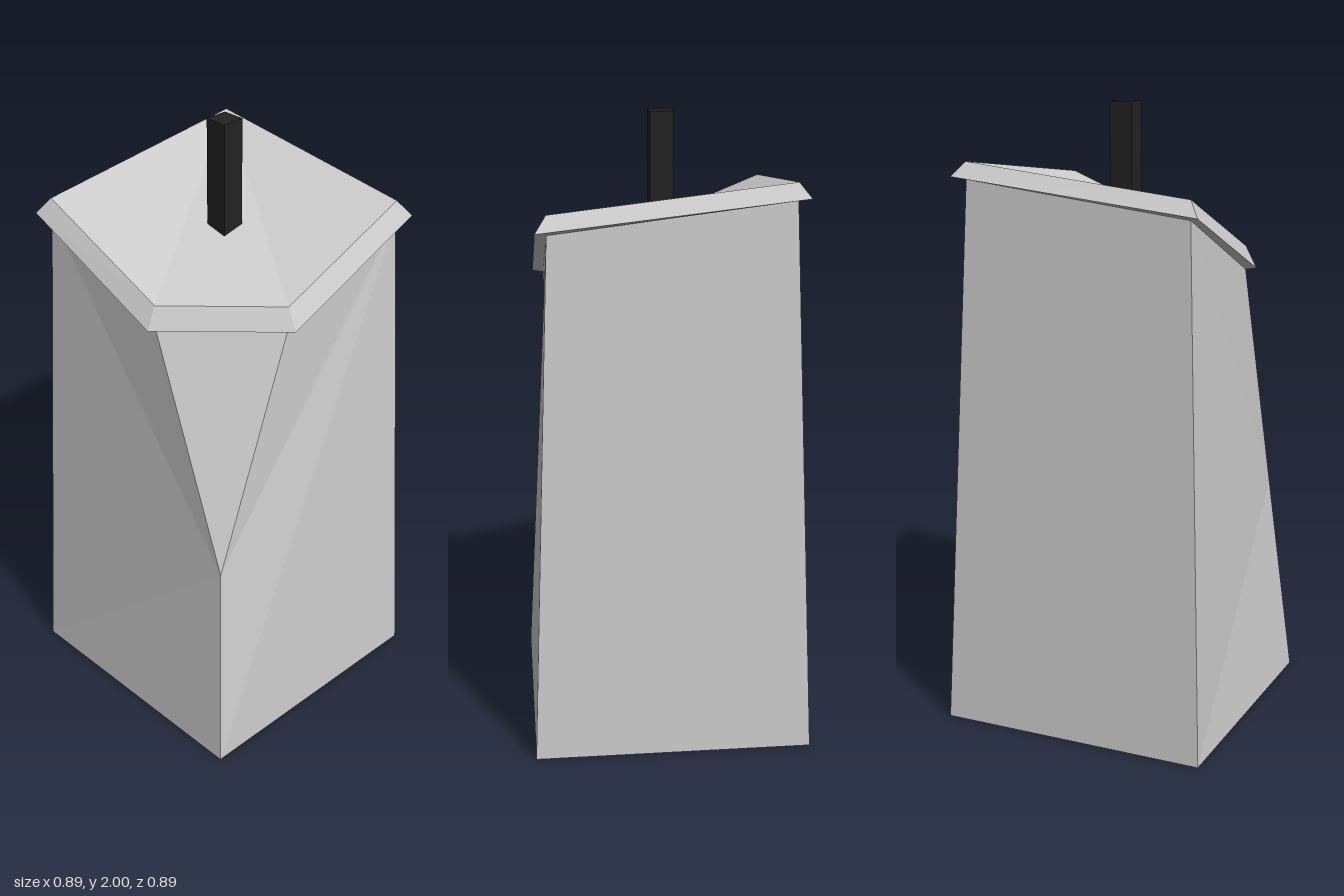
import * as THREE from 'three';

// Triangle soup from corner points, flat shaded
function facets(name, triangles) {
  const geometry = new THREE.BufferGeometry().setFromPoints(
    triangles.flat().map(p => new THREE.Vector3(...p)));
  geometry.computeVertexNormals();
  const material = new THREE.MeshStandardMaterial({
    color: 0xcccccc, flatShading: true, side: THREE.DoubleSide });
  const mesh = new THREE.Mesh(geometry, material);
  mesh.name = name;
  return mesh;
}

// Five-cornered ring with one corner cut off:
// back left, front left, two cut corners, back right
function ring(r, cut, high, mid, low) {
  return [[-r, high, -r], [-r, mid, r], [cut, low, r], [r, low, cut], [r, mid, -r]];
}

// Outward strip between a lower and an upper ring
function strip(lower, upper) {
  return lower.flatMap((p, i) => {
    const j = (i + 1) % lower.length;
    return [[p, lower[j], upper[j]], [p, upper[j], upper[i]]];
  });
}

export function createModel() {
  const model = new THREE.Group();

  // Tapered tower, open below, its front corner chamfered to a point
  const b = 0.444, t = 0.373;
  const neck = ring(t, 0.095, 1.77, 1.68, 1.475);
  const [backLeft, frontLeft, cutA, cutB, backRight] = neck;
  const tip = [t, 0.7, t];
  const bl = [-b, 0, -b], fl = [-b, 0, b], fr = [b, 0, b], br = [b, 0, -b];
  model.add(facets('towerBody', [
    [fl, fr, tip], [fl, tip, frontLeft], [frontLeft, tip, cutA],   // front
    [fr, br, backRight], [fr, backRight, tip], [tip, backRight, cutB], // right
    [tip, cutB, cutA],                                             // chamfer
    [br, bl, backLeft], [br, backLeft, backRight],                 // back
    [bl, fl, frontLeft], [bl, frontLeft, backLeft],                // left
  ]));

  // Sloping cap with an overhanging bevelled rim
  const outer = ring(0.408, 0.1, 1.78, 1.69, 1.48);
  const top = ring(t, 0.095, 1.825, 1.74, 1.55);
  model.add(facets('roofRim', [...strip(neck, outer), ...strip(outer, top)]));
  model.add(facets('roof', [1, 2, 3].map(i => [top[0], top[i], top[i + 1]])));

  // Dark square post standing through the roof
  const post = new THREE.Mesh(
    new THREE.BoxGeometry(0.075, 0.4, 0.075),
    new THREE.MeshStandardMaterial({ color: 0x222222 }));
  post.name = 'post';
  post.position.set(0, 1.8, -0.004);
  model.add(post);

  return model;
}
